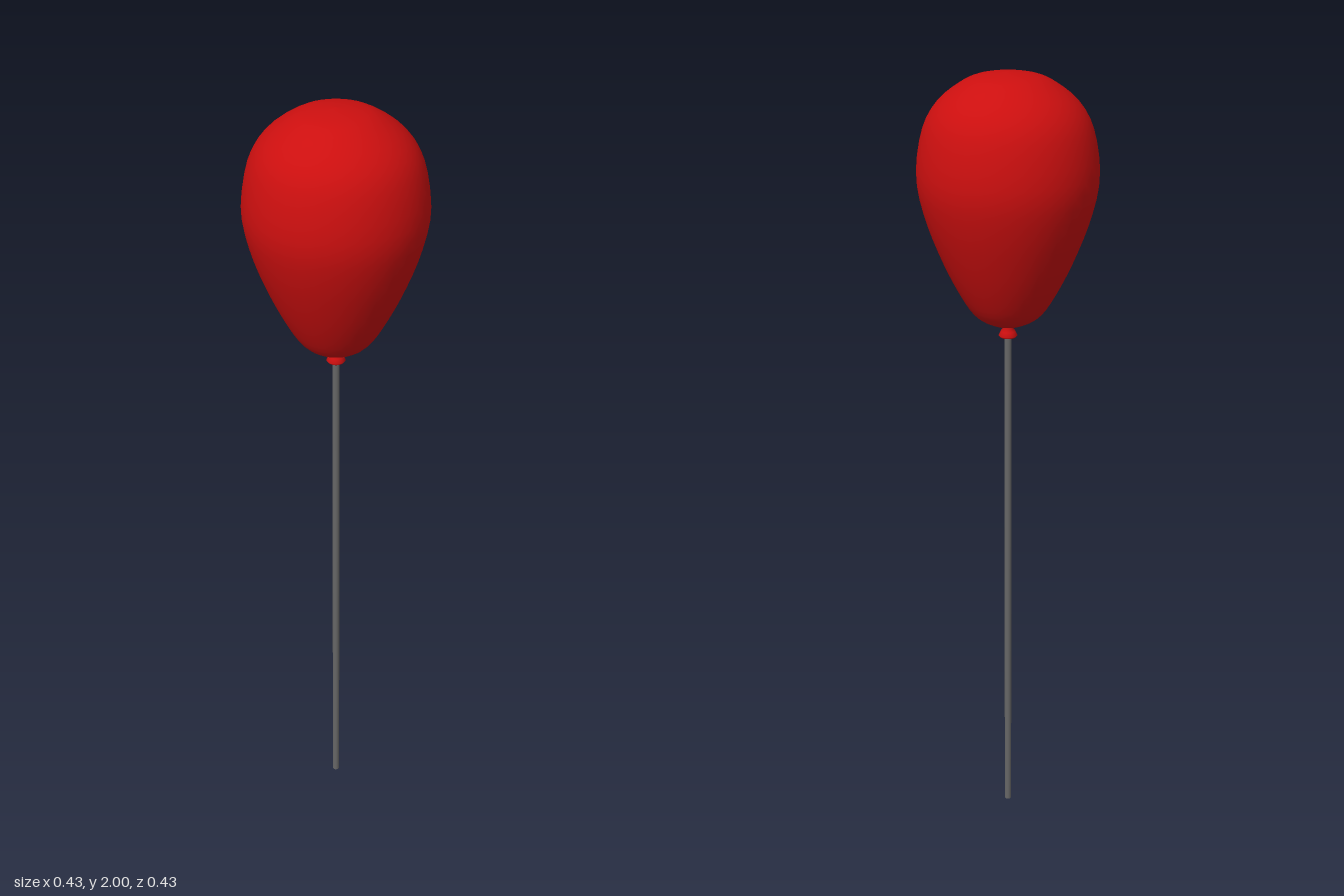
import * as THREE from 'three';

const SIDES = 40;
const vec = ([x, y]) => new THREE.Vector2(x, y);

function addPart(group, name, geometry, color, side = THREE.FrontSide) {
  const mesh = new THREE.Mesh(geometry, new THREE.MeshStandardMaterial({ color, side }));
  mesh.name = name;
  group.add(mesh);
}

export function createModel() {
  const model = new THREE.Group();
  model.name = 'balloonOnStick';
  const red = 0xcc0f0f;

  // Inflated body: teardrop profile, bottom to top
  const body = new THREE.SplineCurve([
    [0.012, 1.387], [0.045, 1.397], [0.082, 1.42], [0.115, 1.468], [0.157, 1.553],
    [0.197, 1.66], [0.216, 1.76], [0.2, 1.868], [0.163, 1.933], [0.1, 1.98], [0.05, 1.995], [0, 2],
  ].map(vec));
  const bodyPoints = body.getPoints(36);
  bodyPoints[36].x = 0;
  addPart(model, 'balloonBody', new THREE.LatheGeometry(bodyPoints, SIDES), red);

  // Flared mouth below the tied neck
  const mouth = [[0.009, 1.365], [0.02, 1.36], [0.023, 1.364], [0.018, 1.375], [0.013, 1.382], [0.014, 1.392]];
  addPart(model, 'balloonMouth', new THREE.LatheGeometry(mouth.map(vec), SIDES), red, THREE.DoubleSide);

  // Straight stick
  const stick = new THREE.CylinderGeometry(0.009, 0.009, 1.39, 16);
  stick.translate(0, 0.695, 0);
  addPart(model, 'stick', stick, 0x666666);

  return model;
}
